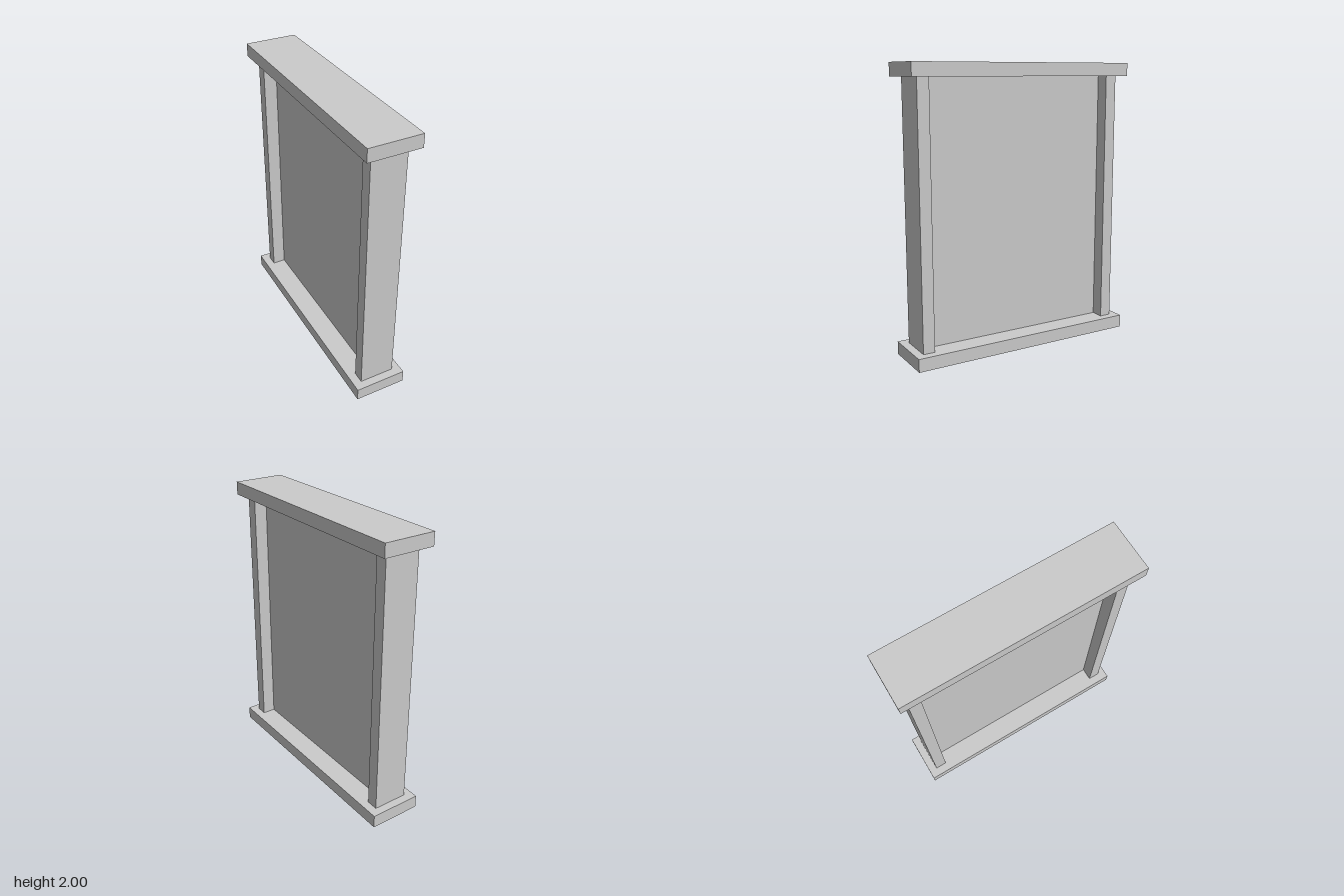
import * as THREE from 'three';

const SLAB = { w: 0.37, h: 0.092, d: 1.677 };
const POST = { w: 0.25, d: 0.084, z: 0.738 };
const PANEL_THICKNESS = 0.062;

export function createModel() {
  const group = new THREE.Group();
  const material = new THREE.MeshStandardMaterial({ color: 0xcccccc, flatShading: true });

  const addBox = (name, w, h, d, y, z = 0) => {
    const mesh = new THREE.Mesh(new THREE.BoxGeometry(w, h, d), material);
    mesh.name = name;
    mesh.position.set(0, y, z);
    group.add(mesh);
  };

  // Base and cap slabs
  addBox('baseSlab', SLAB.w, SLAB.h, SLAB.d, SLAB.h / 2);
  addBox('capSlab', SLAB.w, SLAB.h, SLAB.d, 2 - SLAB.h / 2);

  // Upright posts at both ends
  const innerHeight = 2 - 2 * SLAB.h;
  addBox('frontPost', POST.w, innerHeight, POST.d, 1, POST.z);
  addBox('backPost', POST.w, innerHeight, POST.d, 1, -POST.z);

  // Thin infill panel between the posts
  addBox('panel', PANEL_THICKNESS, innerHeight, 2 * POST.z - POST.d, 1);

  return group;
}
